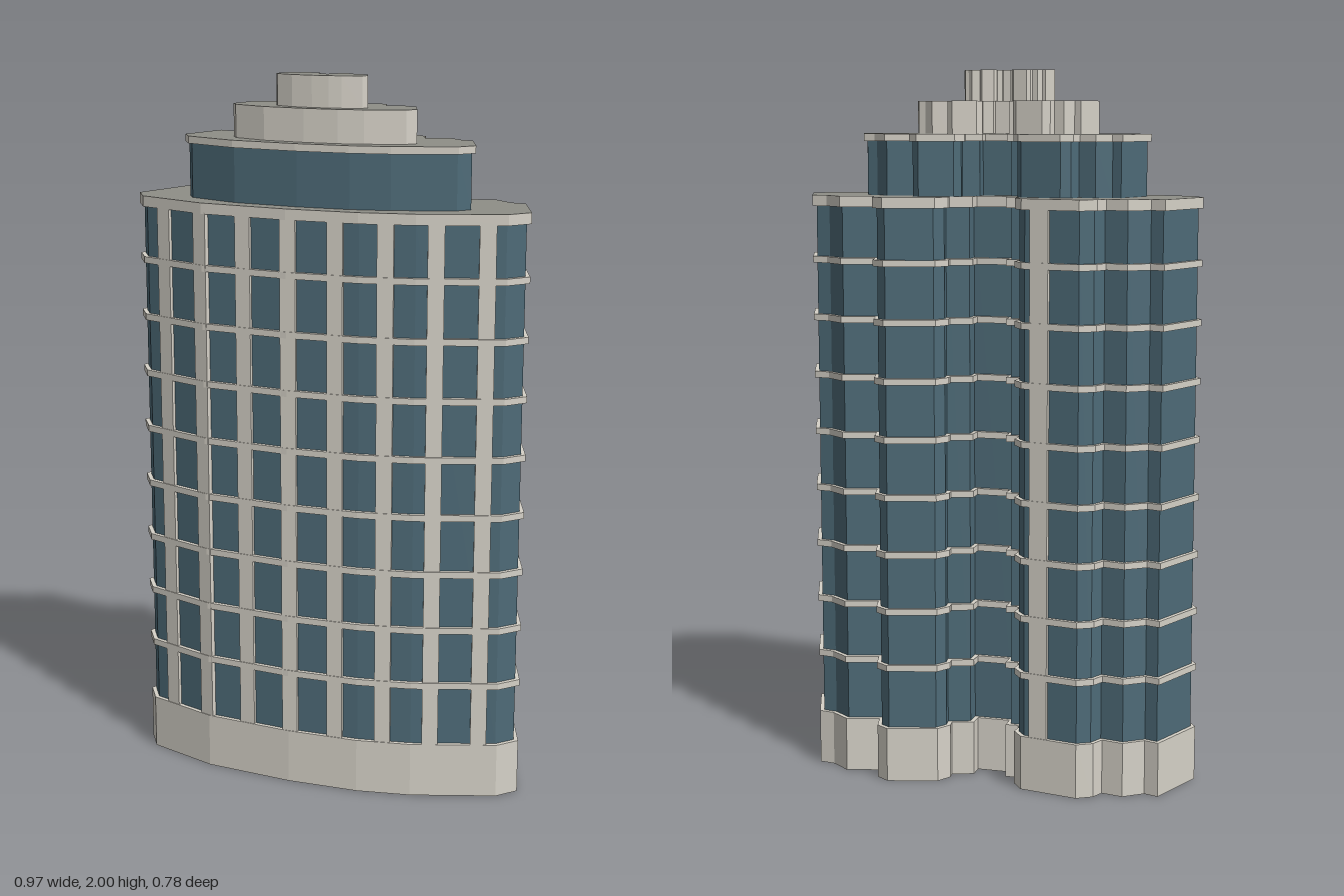
import * as THREE from 'three';

const concrete = new THREE.MeshStandardMaterial({ color: 0xd6d2c8 });
concrete.name = 'concrete';
const glass = new THREE.MeshStandardMaterial({ color: 0x4e6b78 });
glass.name = 'blue glass';
const roof = new THREE.MeshStandardMaterial({ color: 0x8e8e87 });
roof.name = 'grey roof';

// Stepped crescent floor plan as [x, z]: the back from left to right, then the bowed front
const back = [
  [-0.487, -0.217], [-0.482, -0.292], [-0.32, -0.395], [-0.295, -0.36], [-0.227, -0.362],
  [-0.185, -0.315], [-0.15, -0.335], [-0.10, -0.33], [0.017, -0.205], [0.017, -0.155],
  [-0.01, -0.125], [-0.01, -0.112], [0.02, -0.093], [-0.003, -0.06], [0.073, -0.005],
  [0.098, -0.04], [0.158, -0.02], [0.17, -0.043], [0.215, -0.062], [0.35, -0.012],
  [0.365, 0.03], [0.343, 0.085], [0.433, 0.118], [0.453, 0.185], [0.485, 0.217], [0.44, 0.375],
];
const front = [[0.37, 0.39], [0.138, 0.318], [0, 0.25], [-0.168, 0.133], [-0.362, -0.037]];
const plan = [...back, ...front];

const inward = (a, b) => {
  const dx = b[0] - a[0], dz = b[1] - a[1], l = Math.hypot(dx, dz);
  return [-dz / l, dx / l];
};

// Moves every wall of a plan inward by d with mitred corners
function inset(pts, d) {
  const n = pts.length;
  return pts.map((p, i) => {
    const u = inward(pts[(i + n - 1) % n], p), v = inward(p, pts[(i + 1) % n]);
    const k = d / (1 + u[0] * v[0] + u[1] * v[1]);
    return [p[0] + (u[0] + v[0]) * k, p[1] + (u[1] + v[1]) * k];
  });
}

const scaled = (s, ox, oz) => plan.map(([x, z]) => [x * s + ox, z * s + oz]);

export function createModel() {
  const group = new THREE.Group();

  // Raises a plan between two heights; the material may be [caps, walls]
  function storey(name, pts, y0, y1, material) {
    const shape = new THREE.Shape(pts.map(([x, z]) => new THREE.Vector2(x, -z)));
    const geo = new THREE.ExtrudeGeometry(shape, { depth: y1 - y0, bevelEnabled: false });
    geo.rotateX(-Math.PI / 2);
    const mesh = new THREE.Mesh(geo, material);
    mesh.name = name;
    mesh.position.y = y0;
    group.add(mesh);
  }

  // Upright strip on the wall from a to b, centred at the given x
  function pilaster(name, a, b, x, width) {
    const t = (x - a[0]) / (b[0] - a[0]);
    const n = inward(a, b);
    const mesh = new THREE.Mesh(new THREE.BoxGeometry(width, 1.48, 0.024), concrete);
    mesh.name = name;
    mesh.position.set(x + n[0] * 0.014, 0.89, a[1] + (b[1] - a[1]) * t + n[1] * 0.014);
    mesh.rotation.y = Math.atan2(a[1] - b[1], b[0] - a[0]);
    group.add(mesh);
  }

  // Main tower
  storey('base', plan, 0, 0.155, concrete);
  storey('towerGlass', inset(plan, 0.012), 0.155, 1.625, glass);
  for (let i = 0; i < 8; i++) {
    const y = 0.331 + i * 0.1634;
    storey('floorBand', plan, y - 0.009, y + 0.009, concrete);
  }
  storey('towerRoofSlab', plan, 1.625, 1.655, [roof, concrete]);

  // Pilasters along the bowed front
  const wall = [back[back.length - 1], ...front, back[0]];
  for (const x of [-0.445, -0.368, -0.268, -0.165, -0.055, 0.065, 0.19, 0.32]) {
    const i = wall.findIndex((p, k) => k > 0 && p[0] <= x);
    pilaster('frontPilaster', wall[i - 1], wall[i], x, 0.045);
  }
  // Single strip on the back
  pilaster('backPilaster', back[7], back[8], -0.018, 0.055);

  // Set-back upper tiers
  const upper = scaled(0.735, -0.012, 0.015);
  storey('upperGlass', inset(upper, 0.01), 1.655, 1.805, glass);
  storey('upperRoofSlab', upper, 1.805, 1.825, [roof, concrete]);
  storey('penthouse', scaled(0.463, -0.027, 0.029), 1.825, 1.915, [roof, concrete]);
  storey('crown', scaled(0.23, -0.039, 0.043), 1.915, 2, [roof, concrete]);

  return group;
}
